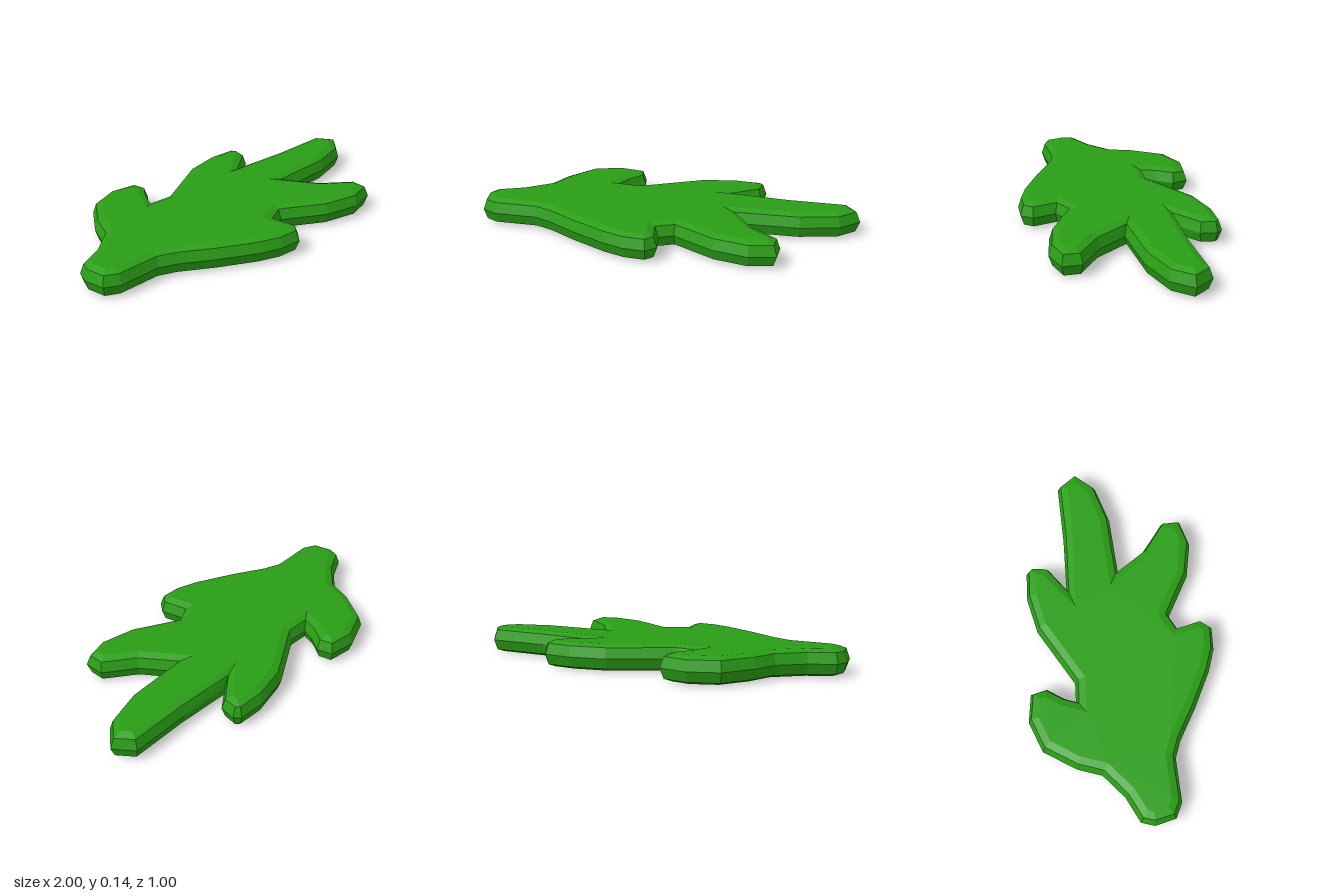
import * as THREE from 'three';

// Leaf outline seen from above as [x, z], starting at the stem end
const OUTLINE = [
  [-0.98, 0.05], [-0.85, -0.02], [-0.73, -0.13], [-0.69, -0.26], [-0.59, -0.43],
  [-0.43, -0.5], [-0.28, -0.485], [-0.255, -0.4], [-0.31, -0.31], [-0.33, -0.25],
  [-0.23, -0.25], [0.07, -0.44], [0.26, -0.49], [0.41, -0.49], [0.44, -0.46],
  [0.43, -0.37], [0.31, -0.275], [0.6, -0.28], [0.92, -0.3], [1, -0.2],
  [0.91, -0.09], [0.71, -0.02], [0.4, 0.01], [0.51, 0.155], [0.67, 0.265],
  [0.675, 0.37], [0.54, 0.415], [0.35, 0.385], [0.12, 0.27], [0.05, 0.31],
  [0.085, 0.435], [0.04, 0.495], [-0.08, 0.495], [-0.2, 0.46], [-0.4, 0.37],
  [-0.57, 0.28], [-0.66, 0.25], [-0.89, 0.265], [-0.97, 0.23], [-1, 0.12],
];

// Rounded rim from bottom to top as [inset, height]
const RIM = [[0.055, 0], [0.018, 0.015], [0, 0.07], [0.018, 0.125], [0.055, 0.14]];

// Moves every corner inward along its mitre, limited at sharp notches
function insetLoop(loop, distance) {
  const n = loop.length;
  const inward = (a, b) => new THREE.Vector2(a.y - b.y, b.x - a.x).normalize();
  return loop.map((p, i) => {
    const n1 = inward(loop[(i + n - 1) % n], p);
    const n2 = inward(p, loop[(i + 1) % n]);
    const mitre = n1.clone().add(n2).normalize();
    const stretch = Math.min(1 / mitre.dot(n1), 2.4);
    return p.clone().addScaledVector(mitre, distance * stretch);
  });
}

function leafGeometry() {
  // Counter-clockwise when looking down
  const loop = OUTLINE.map(([x, z]) => new THREE.Vector2(x, -z)).reverse();
  const n = loop.length;
  const positions = [];
  const index = [];

  for (const [inset, height] of RIM) {
    for (const p of insetLoop(loop, inset)) positions.push(p.x, height, -p.y);
  }

  // Rim bands
  for (let k = 0; k < RIM.length - 1; k++) {
    for (let i = 0; i < n; i++) {
      const j = (i + 1) % n;
      const a = k * n + i, b = k * n + j;
      index.push(a, b, b + n, a, b + n, a + n);
    }
  }

  // Flat top and underside
  const top = (RIM.length - 1) * n;
  const faces = THREE.ShapeUtils.triangulateShape(insetLoop(loop, RIM[0][0]), []);
  for (const [a, b, c] of faces) {
    index.push(top + a, top + b, top + c, c, b, a);
  }

  const geometry = new THREE.BufferGeometry();
  geometry.setAttribute('position', new THREE.Float32BufferAttribute(positions, 3));
  geometry.setIndex(index);
  const flat = geometry.toNonIndexed();
  flat.computeVertexNormals();
  return flat;
}

export function createModel() {
  const group = new THREE.Group();
  group.name = 'leaf';
  const material = new THREE.MeshStandardMaterial({ color: 0x2a9d16, flatShading: true });
  const blade = new THREE.Mesh(leafGeometry(), material);
  blade.name = 'leafBlade';
  group.add(blade);
  return group;
}
